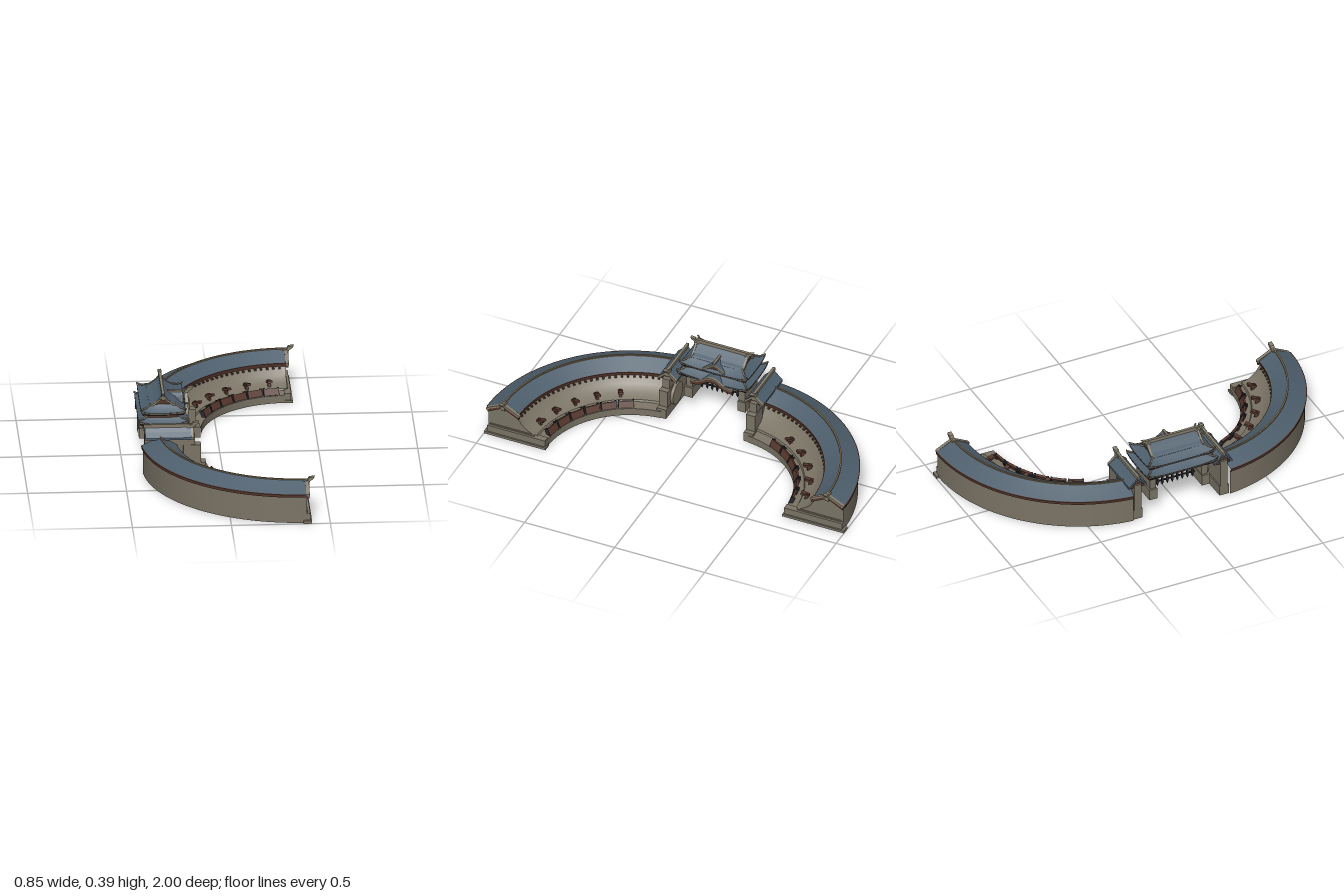
import * as THREE from 'three';
import { toCreasedNormals } from 'three/addons/utils/BufferGeometryUtils.js';

const mat = (name, color, side = THREE.DoubleSide) => {
  const m = new THREE.MeshStandardMaterial({ color, side });
  m.name = name;
  return m;
};

export function createModel() {
  const root = new THREE.Group();
  root.name = 'curvedWallWithGate';
  const stone = mat('stone', 0x7b7466), tile = mat('roofTile', 0x4e5f6d), wood = mat('wood', 0x57372d),
    iron = mat('iron', 0x2a2a2e), trim = mat('trim', 0x857d6c), ridgeTan = mat('ridgeTan', 0x84704f);

  const add = (name, geo, m, x = 0, y = 0, z = 0, ry = 0) => {
    const mesh = new THREE.Mesh(geo, m);
    mesh.name = name;
    mesh.position.set(x, y, z);
    mesh.rotation.y = ry;
    root.add(mesh);
    return mesh;
  };
  // box from its minimum and maximum corners
  const box = (name, m, x0, x1, y0, y1, z0, z1) => add(name,
    new THREE.BoxGeometry(Math.abs(x1 - x0), y1 - y0, Math.abs(z1 - z0)), m, (x0 + x1) / 2, (y0 + y1) / 2, (z0 + z1) / 2);
  // outline in x,y extruded along z, centred
  const prism = (pts, len) => {
    const g = new THREE.ExtrudeGeometry(new THREE.Shape(pts.map(p => new THREE.Vector2(...p))), { depth: len, bevelEnabled: false });
    return g.translate(0, 0, -len / 2);
  };
  // half profile (ridge to eave) mirrored into a roof skin of thickness t
  const roofSkin = (half, t, len) => {
    const top = [...half.slice(1).reverse().map(([x, y]) => [-x, y]), ...half];
    return prism([...top, ...top.slice().reverse().map(([x, y]) => [x, y - t])], len);
  };
  const gableFill = (half, base, len) => prism([...half.slice(1).reverse().map(([x, y]) => [-x, y]), ...half,
    [half.at(-1)[0], base], [-half.at(-1)[0], base]], len);
  const finial = (name, x, y, z, ry, k = 1) => add(name, prism(
    [[-0.02, -0.025], [-0.02, 0.002], [0.005, 0.004], [0.012, 0.015], [0.04, 0.02], [0.032, 0.006], [0.016, -0.002], [0.01, -0.035], [-0.005, -0.035]]
      .map(p => p.map(v => v * k)), 0.022 * k), trim, x, y, z, ry);

  // ---- curved walls ----
  const CX = 0.38, CZ = 0.2, SWEEP = Math.PI / 2 - 0.09;
  for (const s of [1, -1]) {
    const side = s > 0 ? 'left' : 'right';
    const arc = (name, pts, m) => add(side + name, toCreasedNormals(new THREE.LatheGeometry(
      pts.map(p => new THREE.Vector2(...p)), 32, s > 0 ? -SWEEP : Math.PI, SWEEP), 0.5), m, CX, 0, s * CZ);
    const onArc = (name, geo, m, r, y, t, tilt = 0) => {
      const mesh = add(side + name, geo, m, CX - r * Math.sin(t), y, s * (CZ + r * Math.cos(t)),
        Math.atan2(-Math.sin(t), s * Math.cos(t)));
      mesh.rotation.order = 'YXZ';
      mesh.rotation.x = tilt;
    };
    arc('OuterWall', [[0.786, 0], [0.786, 0.142]], stone);
    arc('InnerBank', [[0.463, 0], [0.463, 0.04], [0.515, 0.046], [0.52, 0.056], [0.565, 0.068], [0.6, 0.095], [0.632, 0.142]], stone);
    arc('Roof', [[0.795, 0.155], [0.745, 0.178], [0.7, 0.201], [0.66, 0.178], [0.618, 0.154]], tile);
    arc('OuterEave', [[0.786, 0.138], [0.795, 0.14], [0.797, 0.155], [0.786, 0.158]], wood);
    arc('InnerEave', [[0.632, 0.132], [0.62, 0.135], [0.616, 0.154], [0.632, 0.158]], wood);
    arc('Ridge', [[0.704, 0.198], [0.704, 0.205], [0.696, 0.205], [0.696, 0.198]], ridgeTan);
    for (let i = 0; i < 28; i++)
      onArc('RafterTip', new THREE.BoxGeometry(0.01, 0.008, 0.016), wood, 0.62, 0.128, 0.05 + i * 0.051);
    // fence panels and posts on the inner bank
    for (let i = 0; i < 6; i++) {
      const t = 0.17 + i * 0.185;
      onArc('Panel', new THREE.BoxGeometry(0.072, 0.036, 0.012), wood, 0.475, 0.058, t, 0.45);
      for (const d of [-0.075, 0.075])
        onArc('PanelLeg', new THREE.BoxGeometry(0.008, 0.046, 0.02), iron, 0.48, 0.056, t + d, 0.45);
    }
    for (let i = 0; i < 5; i++) {
      const t = 0.16 + i * 0.222;
      onArc('Post', new THREE.BoxGeometry(0.014, 0.04, 0.014), wood, 0.548, 0.075, t, 0.3);
      onArc('PostArm', new THREE.BoxGeometry(0.024, 0.012, 0.045), wood, 0.54, 0.088, t, 0.3);
    }
    // free end: wall face, stepped footing, gable
    const face = [[0.463, 0], [0.786, 0], [0.786, 0.142], [0.7, 0.195], [0.63, 0.142], [0.6, 0.095], [0.565, 0.068], [0.515, 0.046], [0.463, 0.042]];
    // the extrusion's x axis is turned to point along s * z
    add(side + 'EndWall', prism(face, 0.02), stone, 0.372, 0, s * CZ, -s * Math.PI / 2);
    box(side + 'FootingLow', stone, 0.365, 0.408, 0, 0.014, s * 0.658, s * 1.0);
    box(side + 'FootingMid', stone, 0.365, 0.4, 0.014, 0.05, s * 0.664, s * 0.985);
    box(side + 'FootingTop', stone, 0.365, 0.388, 0.05, 0.057, s * 0.73, s * 0.975);
    const gable = [[0, 0.203], [0.045, 0.18], [0.092, 0.156]];
    add(side + 'BargeBoard', roofSkin(gable, 0.011, 0.018), trim, 0.388, 0, s * 0.9, Math.PI / 2);
    add(side + 'GableBeam', roofSkin(gable.map(([x, y]) => [x * 0.95, y - 0.011]), 0.014, 0.014), wood, 0.387, 0, s * 0.9, Math.PI / 2);
    finial(side + 'EndFinial', 0.386, 0.199, s * 0.9, 0);

    // ---- wing between curved wall and gate ----
    box(side + 'WingWall', stone, -0.395, -0.14, 0, 0.205, s * 0.222, s * 0.262);
    box(side + 'WingBase', stone, -0.395, -0.085, 0, 0.055, s * 0.216, s * 0.268);
    box(side + 'WingStep', stone, -0.2, -0.11, 0.055, 0.15, s * 0.218, s * 0.266);
    const disc = add(side + 'WingDisc', new THREE.CylinderGeometry(0.06, 0.06, 0.022, 28), trim, -0.2, 0.09, s * 0.213);
    disc.rotation.x = Math.PI / 2;
    const wing = [[0, 0.247], [0.025, 0.222], [0.05, 0.2]];
    add(side + 'WingRoof', roofSkin(wing, 0.012, 0.235), tile, -0.275, 0, s * 0.24, Math.PI / 2);
    add(side + 'WingBarge', roofSkin(wing.map(([x, y]) => [x * 1.05, y + 0.002]), 0.014, 0.014), trim, -0.154, 0, s * 0.24, Math.PI / 2);
    add(side + 'WingGable', gableFill(wing.map(([x, y]) => [x * 0.8, y - 0.01]), 0.185, 0.22), wood, -0.275, 0, s * 0.24, Math.PI / 2);
    box(side + 'WingRidge', trim, -0.4, -0.15, 0.24, 0.257, s * 0.233, s * 0.247);
    finial(side + 'WingFinial', -0.16, 0.25, s * 0.24, 0);

    // ---- gate piers ----
    box(side + 'Pier', stone, -0.37, -0.215, 0.08, 0.235, s * 0.128, s * 0.162);
    box(side + 'PierFoot', stone, -0.38, -0.205, 0.08, 0.14, s * 0.125, s * 0.17);
    finial(side + 'GateFinial', -0.295, 0.377, s * 0.142, -s * Math.PI / 2, 0.8);
    add(side + 'GateVerge', roofSkin([[0, 0.381], [0.02, 0.354], [0.045, 0.334], [0.072, 0.322]], 0.012, 0.012),
      trim, -0.295, 0, s * 0.142);
  }

  // ---- gate ----
  const GX = -0.295;
  // hipped skirt lofted through rectangular rings [halfX, halfZ, y, cornerLift]
  const hipRoof = (name, rings, m) => {
    const n = 8, pos = [], idx = [], corners = [[-1, -1], [-1, 1], [1, 1], [1, -1]];
    for (let c = 0; c < 4; c++) {
      const base = pos.length / 3, a = corners[c], b = corners[(c + 1) % 4];
      rings.forEach(([hx, hz, y, lift], j) => {
        for (let i = 0; i <= n; i++) {
          const t = i / n;
          pos.push(hx * (a[0] + (b[0] - a[0]) * t), y + lift * Math.abs(2 * t - 1) ** 4, hz * (a[1] + (b[1] - a[1]) * t));
          if (j && i < n) {
            const p = base + (j - 1) * (n + 1) + i, q = p + n + 1;
            idx.push(p, p + 1, q, p + 1, q + 1, q);
          }
        }
      });
    }
    const g = new THREE.BufferGeometry();
    g.setAttribute('position', new THREE.Float32BufferAttribute(pos, 3));
    g.setIndex(idx);
    g.computeVertexNormals();
    add(name, g, m, GX);
  };
  const tier = (name, hx, hz, y, top, lift) => {
    hipRoof(name + 'Skirt', [[hx, hz, y, lift], [hx * 0.79, hz * 0.88, y + 0.011, lift * 0.5], [hx * 0.55, hz * 0.75, top, 0]], tile);
    hipRoof(name + 'Edge', [[hx, hz, y - 0.008, lift], [hx * 1.01, hz * 1.005, y, lift]], trim);
    hipRoof(name + 'Soffit', [[hx * 0.8, hz * 0.88, y - 0.018, 0], [hx * 0.92, hz * 0.95, y - 0.014, 0], [hx, hz, y - 0.008, lift]], wood);
    for (const sx of [-1, 1]) for (const sz of [-1, 1]) { // hip ribs
      const rib = [[1.02, 1.01, y + lift + 0.008], [0.79, 0.88, y + 0.014 + lift * 0.5], [0.55, 0.75, top + 0.002]]
        .map(([a, b, h]) => new THREE.Vector3(sx * hx * a, h, sz * hz * b));
      add(name + 'HipRib', new THREE.TubeGeometry(new THREE.CatmullRomCurve3(rib), 6, 0.005, 5), trim, GX);
    }
  };
  tier('lowerRoof', 0.125, 0.195, 0.24, 0.272, 0.014);
  tier('upperRoof', 0.113, 0.186, 0.293, 0.325, 0.014);
  box('gateLintel', wood, GX - 0.1, GX + 0.1, 0.212, 0.228, -0.172, 0.172);
  box('gateStorey', wood, GX - 0.08, GX + 0.08, 0.225, 0.285, -0.16, 0.16);
  const crown = [[0, 0.375], [0.02, 0.35], [0.045, 0.332], [0.07, 0.32]];
  add('crownRoof', roofSkin(crown, 0.01, 0.275), tile, GX);
  add('crownGable', gableFill(crown.map(([x, y]) => [x * 0.9, y - 0.008]), 0.3, 0.262), wood, GX);
  box('crownRidge', trim, GX - 0.007, GX + 0.007, 0.37, 0.388, -0.15, 0.15);

  // dormer and curved porch gable on the inner face
  const dormer = [[0, 0.34], [0.025, 0.32], [0.06, 0.3]];
  add('dormerRoof', roofSkin(dormer, 0.009, 0.09), tile, -0.238, 0, 0, Math.PI / 2);
  add('dormerGable', gableFill(dormer.map(([x, y]) => [x * 0.85, y - 0.008]), 0.28, 0.08), wood, -0.24, 0, 0, Math.PI / 2);
  add('dormerVerge', roofSkin(dormer.map(([x, y]) => [x, y + 0.002]), 0.012, 0.008), trim, -0.192, 0, 0, Math.PI / 2);
  box('dormerRidge', trim, -0.285, -0.19, 0.337, 0.346, -0.006, 0.006);
  const porch = [[0, 0.268], [0.025, 0.262], [0.05, 0.245], [0.08, 0.231], [0.115, 0.227]];
  add('porchRoof', roofSkin(porch, 0.01, 0.07), tile, -0.203, 0, 0, Math.PI / 2);
  add('porchBarge', roofSkin(porch.map(([x, y]) => [x, y - 0.006]), 0.018, 0.01), wood, -0.168, 0, 0, Math.PI / 2);
  add('porchTrim', roofSkin(porch.map(([x, y]) => [x, y + 0.002]), 0.007, 0.014), trim, -0.168, 0, 0, Math.PI / 2);

  // portcullis
  for (let i = -4; i <= 4; i++) {
    box('gateBar', iron, GX - 0.005, GX + 0.005, 0.105, 0.215, i * 0.028 - 0.004, i * 0.028 + 0.004);
    add('gateSpike', new THREE.ConeGeometry(0.008, 0.02, 6), iron, GX, 0.097, i * 0.028).rotation.x = Math.PI;
  }
  for (let i = 0; i < 4; i++) box('gateCrossBar', iron, GX - 0.004, GX + 0.004, 0.115 + i * 0.028, 0.121 + i * 0.028, -0.128, 0.128);
  return root;
}
